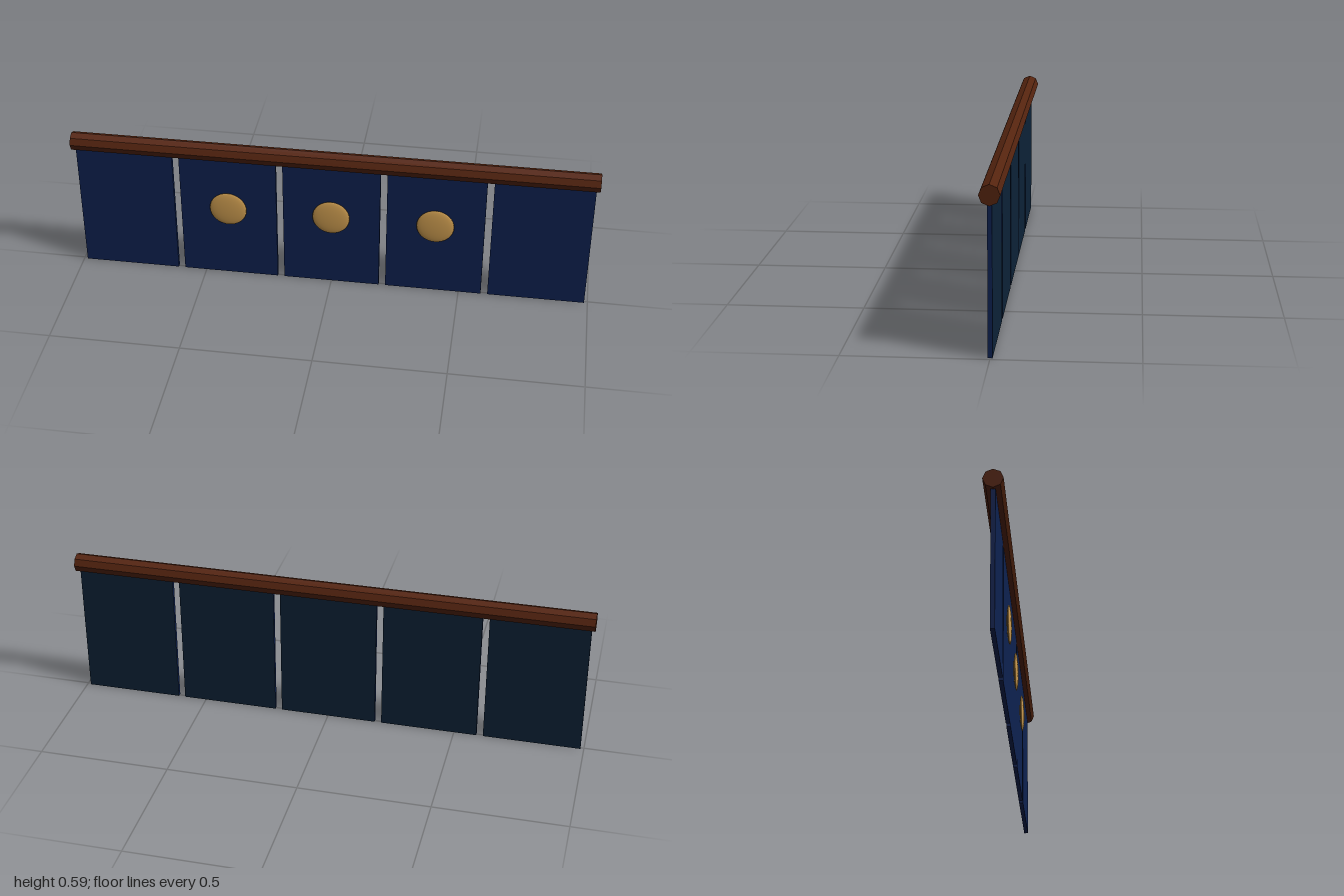
import * as THREE from 'three';

const mat = (name, color, flatShading = false) => {
  const m = new THREE.MeshStandardMaterial({ color, flatShading });
  m.name = name;
  return m;
};

export function createModel() {
  const group = new THREE.Group();
  const wood = mat('dark wood', 0x55240f, true);
  const cloth = mat('navy cloth', 0x0e2252);
  const lining = mat('dark teal lining', 0x0d2238);
  const gold = mat('gold', 0xd2a052);

  const add = (name, geometry, material, x, y, z) => {
    const mesh = new THREE.Mesh(geometry, material);
    mesh.name = name;
    mesh.position.set(x, y, z);
    group.add(mesh);
    return mesh;
  };

  // Octagonal hanging rod along x, corner at the top
  const rod = new THREE.CylinderGeometry(0.036, 0.036, 2, 8).rotateZ(Math.PI / 2);
  add('rod', rod, wood, 0, 0.555, 0);

  // Five cloth panels, lined at the back
  const panel = new THREE.BoxGeometry(0.374, 0.54, 0.016);
  const panelMaterials = [cloth, cloth, cloth, cloth, cloth, lining];
  for (let i = -2; i <= 2; i++) add('panel', panel, panelMaterials, i * 0.4, 0.27, 0);

  // Flattened round emblems on the three middle panels
  const emblem = new THREE.SphereGeometry(0.072, 24, 16).scale(1, 1, 0.12);
  for (let i = -1; i <= 1; i++) add('emblem', emblem, gold, i * 0.4, 0.308, 0.0165);

  return group;
}
